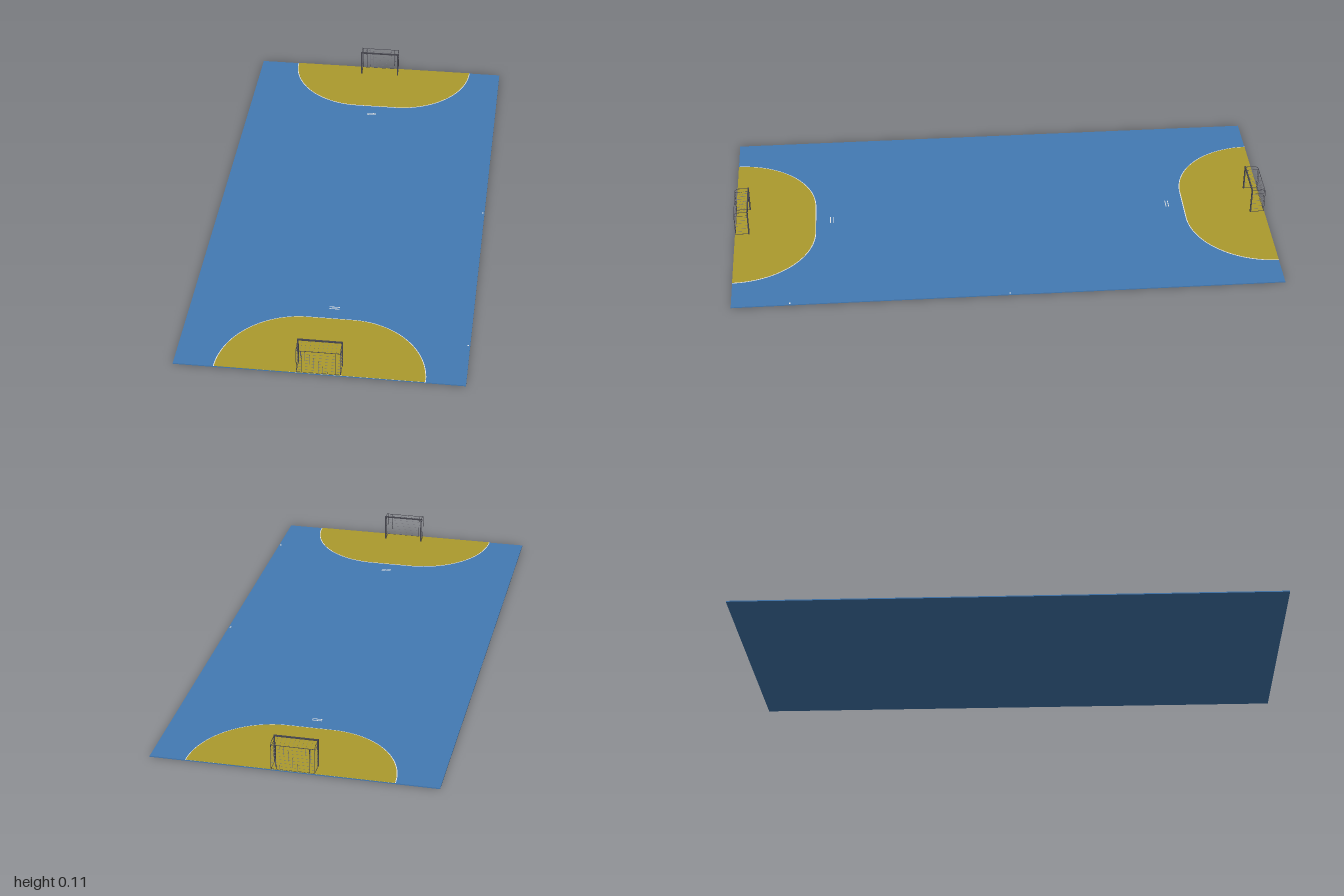
import * as THREE from 'three';

const mat = (name, color) => {
  const m = new THREE.MeshStandardMaterial({ color });
  m.name = name;
  return m;
};

export function createModel() {
  const blue = mat('court blue', 0x437ab3);
  const olive = mat('zone olive', 0xac9b2d);
  const white = mat('line white', 0xf4f4f4);
  const dark = mat('goal frame grey', 0x45454d);
  const netGrey = mat('net grey', 0x77777f);

  const model = new THREE.Group();
  model.name = 'handballCourt';
  const TOP = 0.004;

  const add = (parent, name, geometry, material, x = 0, y = 0, z = 0) => {
    const mesh = new THREE.Mesh(geometry, material);
    mesh.name = name;
    mesh.position.set(x, y, z);
    parent.add(mesh);
    return mesh;
  };
  const box = (parent, name, w, h, d, material, x, y, z) =>
    add(parent, name, new THREE.BoxGeometry(w, h, d), material, x, y, z);

  // Straight square bar between two points
  const bar = (parent, name, a, b, t, material) => {
    const p = new THREE.Vector3(...a), q = new THREE.Vector3(...b);
    const mesh = box(parent, name, t, t, p.distanceTo(q) + t, material, 0, 0, 0);
    mesh.position.copy(p).add(q).multiplyScalar(0.5);
    mesh.lookAt(q);
  };

  // Goal area: straight front with a quarter ellipse at each side
  const zoneGeometry = (grow, height) => {
    const rx = 0.28 + grow, rz = 0.3 + grow, flat = 0.08;
    const s = new THREE.Shape();
    s.moveTo(-flat - rx, 0);
    s.lineTo(flat + rx, 0);
    s.absellipse(flat, 0, rx, rz, 0, Math.PI / 2, false);
    s.absellipse(-flat, 0, rx, rz, Math.PI / 2, Math.PI, false);
    const g = new THREE.ExtrudeGeometry(s, { depth: height, bevelEnabled: false, curveSegments: 24 });
    return g.rotateX(-Math.PI / 2);
  };

  // Goal with its mouth towards the middle of the court
  const makeGoal = () => {
    const goal = new THREE.Group();
    goal.name = 'goal';
    const w = 0.0755, h = 0.105, zf = 0.9475, zb = 0.998, bw = 0.058, bh = 0.097;
    for (const s of [-1, 1]) {
      bar(goal, 'goalPost', [s * w, TOP, zf], [s * w, h, zf], 0.005, dark);
      bar(goal, 'rearPost', [s * bw, TOP, zb], [s * bw, bh, zb], 0.0015, dark);
      bar(goal, 'groundRail', [s * w, TOP + 0.002, zf], [s * w, TOP + 0.002, zb], 0.0015, dark);
      bar(goal, 'topRail', [s * w, h, zf], [s * w, h, zb - 0.01], 0.0015, dark);
      bar(goal, 'topRailBend', [s * w, h, zb - 0.01], [s * w, bh, zb], 0.0015, dark);
      bar(goal, 'sideRearPost', [s * w, TOP, zb], [s * w, bh, zb], 0.0015, dark);
      bar(goal, 'sideBrace', [s * w, 0.09, zf], [s * w, 0.09, zb], 0.001, dark);
    }
    bar(goal, 'crossbar', [-w, h, zf], [w, h, zf], 0.005, dark);
    bar(goal, 'rearTopBar', [-w, bh, zb], [w, bh, zb], 0.0015, dark);
    bar(goal, 'rearGroundBar', [-w, TOP + 0.001, zb], [w, TOP + 0.001, zb], 0.0015, dark);

    // Fine net cords over the back, roof and sides
    const t = 0.0005;
    for (let i = 1; i < 10; i++) {
      const x = -w + (2 * w * i) / 10;
      bar(goal, 'netCord', [x, TOP, zb], [x, bh, zb], t, netGrey);
      bar(goal, 'netCord', [x, bh, zb], [x, h, zf], t, netGrey);
    }
    for (let i = 1; i < 7; i++) {
      const y = TOP + ((bh - TOP) * i) / 7;
      bar(goal, 'netCord', [-w, y, zb], [w, y, zb], t, netGrey);
      for (const s of [-1, 1]) bar(goal, 'netCord', [s * w, y, zf], [s * w, y, zb], t, netGrey);
    }
    return goal;
  };

  // Court slab
  box(model, 'courtFloor', 1, TOP, 2, blue, 0, TOP / 2, 0);

  // Two ends, the second one turned round
  for (const back of [false, true]) {
    const end = new THREE.Group();
    end.name = back ? 'backEnd' : 'frontEnd';
    const shift = back ? -0.012 : 0.002;
    add(end, 'goalAreaLine', zoneGeometry(0.003, 0.0007), white, shift, TOP, 1);
    add(end, 'goalArea', zoneGeometry(0, 0.0014), olive, shift, TOP, 1);
    for (const z of [0.633, 0.643]) {
      box(end, 'penaltyMark', 0.036, 0.0007, 0.003, white, back ? 0 : 0.01, TOP + 0.00035, z);
    }
    end.add(makeGoal());
    if (back) end.rotation.y = Math.PI;
    model.add(end);
  }

  // Small ticks on the sideline
  for (const z of [0, 0.79]) {
    box(model, 'sidelineTick', 0.006, 0.0007, 0.006, white, 0.493, TOP + 0.00035, z);
  }
  return model;
}
